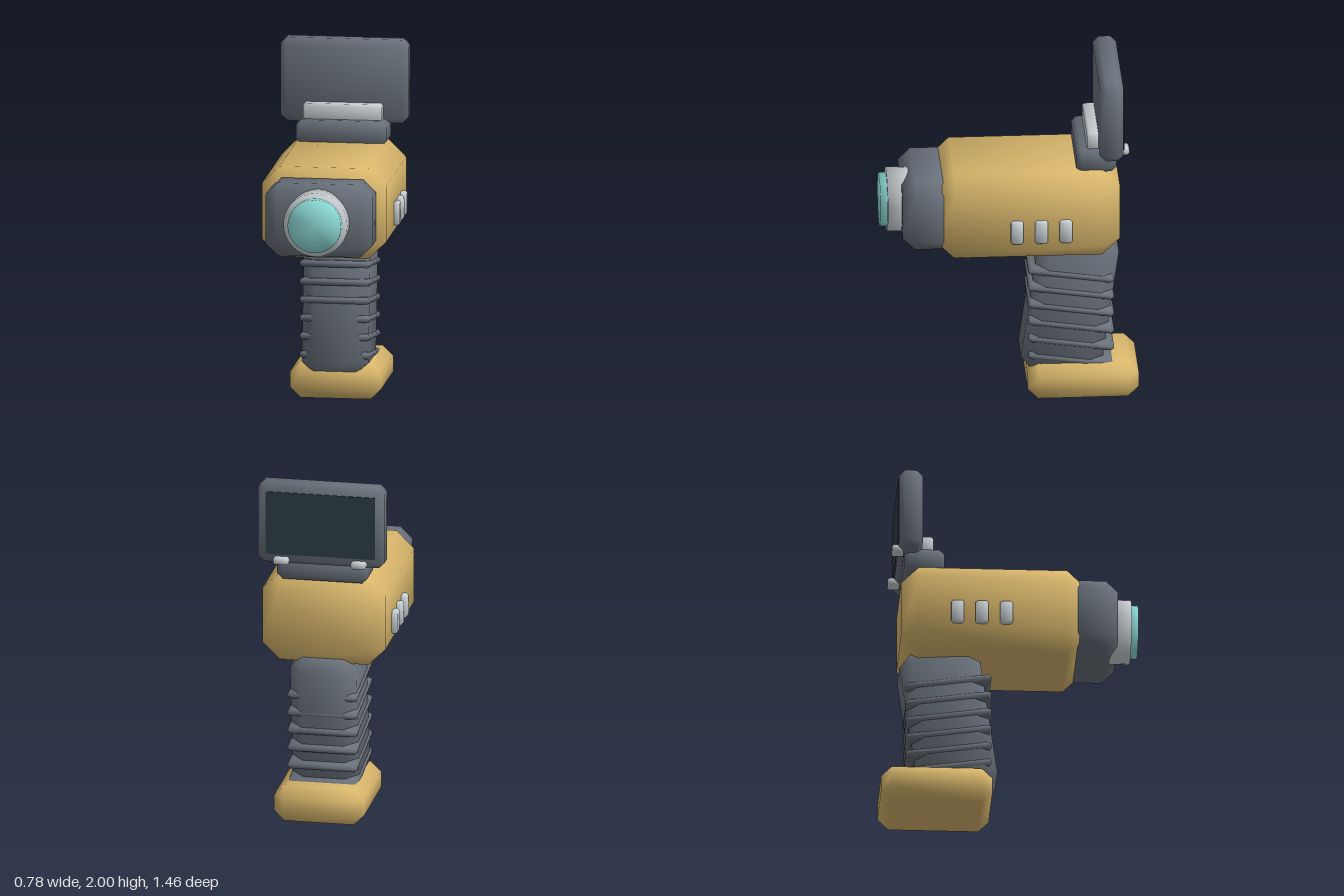
import * as THREE from 'three';
import { ConvexGeometry } from 'three/addons/geometries/ConvexGeometry.js';

const mat = (name, color) => {
  const m = new THREE.MeshStandardMaterial({ color });
  m.name = name;
  return m;
};

// Box with single 45 degree chamfers and softly blended normals
function chamferBox(w, h, d, c) {
  const half = [w / 2, h / 2, d / 2];
  const points = [];
  for (let axis = 0; axis < 3; axis++)
    for (const sx of [-1, 1]) for (const sy of [-1, 1]) for (const sz of [-1, 1]) {
      const p = [sx, sy, sz].map((s, i) => s * (half[i] - (i === axis ? 0 : c)));
      points.push(new THREE.Vector3(...p));
    }
  const geo = new ConvexGeometry(points);
  const pos = geo.attributes.position, nor = geo.attributes.normal;
  for (let i = 0; i < pos.count; i++) {
    const p = [pos.getX(i), pos.getY(i), pos.getZ(i)];
    const n = p.map((v, k) => Math.sign(v) * (half[k] - Math.abs(v) < c * 0.5 ? 0.876 : 0.341));
    nor.setXYZ(i, ...n);
  }
  return geo;
}

// Cylinder along z whose rim normals blend cap and wall
function softDisc(r, depth) {
  const geo = new THREE.CylinderGeometry(r, r, depth, 32);
  const pos = geo.attributes.position, nor = geo.attributes.normal;
  for (let i = 0; i < pos.count; i++) {
    const n = new THREE.Vector3(pos.getX(i) / r, Math.sign(pos.getY(i)), pos.getZ(i) / r).normalize();
    nor.setXYZ(i, n.x, n.y, n.z);
  }
  return geo.rotateX(Math.PI / 2);
}

export function createModel() {
  const model = new THREE.Group();
  const gold = mat('gold shell', 0xd9b76c);
  const grey = mat('slate grey', 0x69717b);
  const light = mat('pale metal', 0xc8cfd2);
  const teal = mat('teal glass', 0x8edcd8);
  const dark = mat('dark display', 0x2c3b44);

  const add = (name, geo, material, x, y, z, tilt = 0) => {
    const mesh = new THREE.Mesh(geo, material);
    mesh.name = name;
    mesh.position.set(x, y, z);
    mesh.rotation.x = tilt;
    model.add(mesh);
    return mesh;
  };

  // Main housing and nose
  add('body', chamferBox(0.71, 0.52, 1.04, 0.1), gold, 0, 1.17, -0.1);
  add('nose', chamferBox(0.61, 0.42, 0.29, 0.07), grey, 0, 1.17, 0.465);
  add('lensRing', softDisc(0.183, 0.15), light, 0, 1.172, 0.615);
  add('lens', softDisc(0.153, 0.1), teal, 0, 1.172, 0.68);

  // Leaning handle with grip ribs
  const tilt = -0.14;
  add('handle', chamferBox(0.38, 0.85, 0.46, 0.07), grey, 0, 0.545, -0.345, tilt);
  for (let i = 0; i < 6; i++)
    add('gripRib', chamferBox(0.4, 0.04, 0.49, 0.014), grey, 0, 0.752 - i * 0.105, -0.347, tilt);
  add('base', chamferBox(0.52, 0.21, 0.63, 0.06), gold, 0, 0.105, -0.415);

  // Buttons on both sides
  for (const side of [-1, 1])
    for (const z of [-0.03, -0.168, -0.306])
      add('sideButton', chamferBox(0.056, 0.136, 0.072, 0.012), light, side * 0.36, 1.108, z);

  // Screen with its mount
  add('screenMount', chamferBox(0.52, 0.14, 0.23, 0.03), grey, 0, 1.483, -0.487);
  add('hingeBar', chamferBox(0.45, 0.11, 0.09, 0.012), light, 0, 1.585, -0.48);
  add('screenCase', chamferBox(0.73, 0.48, 0.135, 0.035), grey, 0, 1.76, -0.568);
  add('display', new THREE.BoxGeometry(0.63, 0.37, 0.008), dark, 0, 1.765, -0.636);
  for (const side of [-1, 1])
    add('hingePin', chamferBox(0.088, 0.042, 0.08, 0.01), light, side * 0.224, 1.546, -0.632);

  return model;
}
